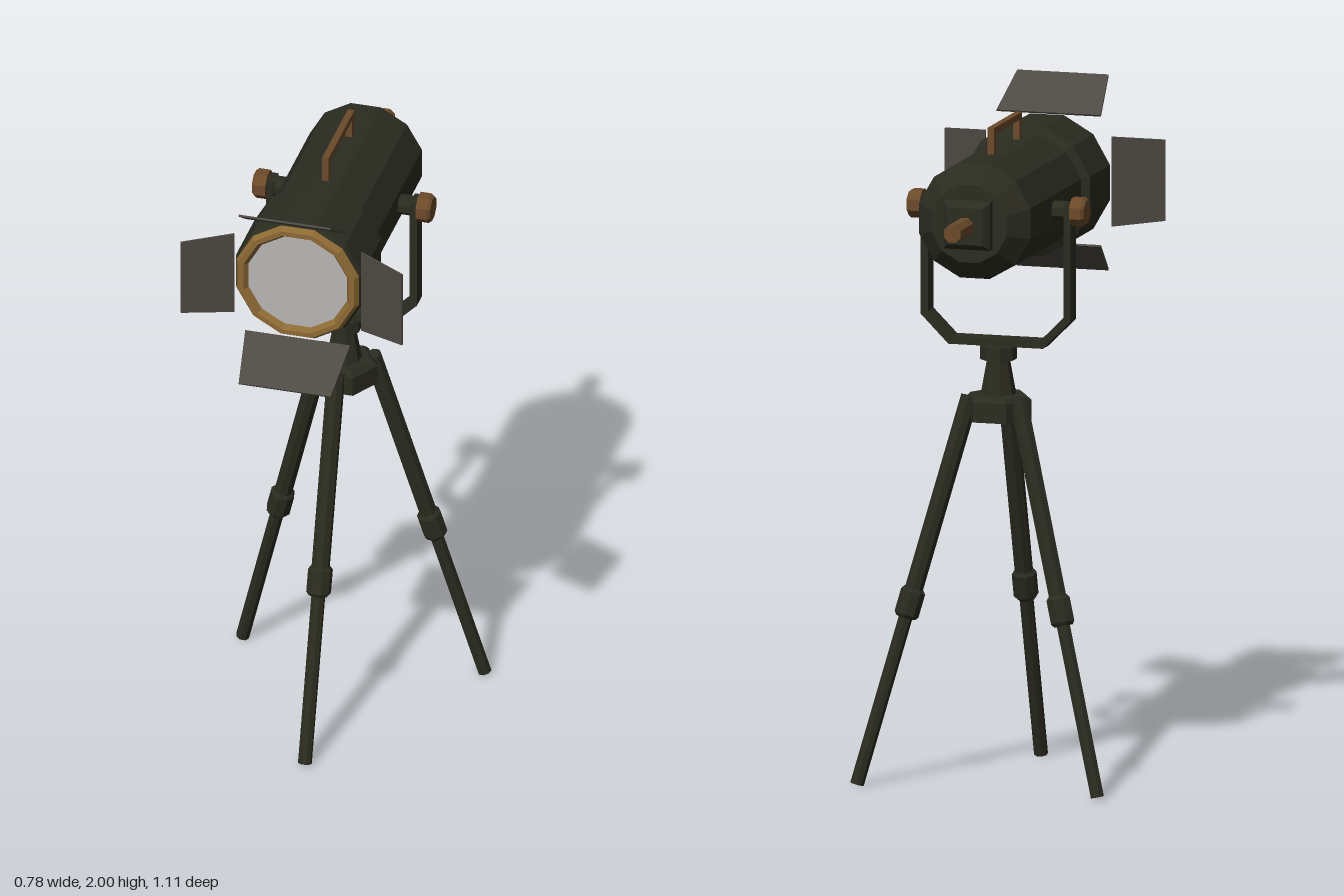
import * as THREE from 'three';

const mat = (name, color) => Object.assign(new THREE.MeshStandardMaterial({ color, flatShading: true }), { name });

export function createModel() {
  const model = new THREE.Group();
  model.name = 'studioSpotlight';
  const dark = mat('darkOlive', 0x2b2c20);
  const brown = mat('bronze', 0x6c4a2a);
  const gold = mat('goldTrim', 0x8c6934);
  const flapGrey = mat('flapGrey', 0x4d4943);
  flapGrey.side = THREE.DoubleSide;
  const lensGrey = mat('lensGrey', 0xb8b6b4);

  const AXIS = 1.71;   // height of the lamp's optical axis
  const PIVOT = -0.093; // z of yoke and tripod centre

  const add = (name, geo, material, x = 0, y = 0, z = 0, parent = model) => {
    const mesh = new THREE.Mesh(geo, material);
    mesh.name = name;
    mesh.position.set(x, y, z);
    parent.add(mesh);
    return mesh;
  };
  // Prism with flat sides facing the axes; radii measured to the flats
  const prism = (rTop, rBottom, h, n = 8) => {
    const k = 1 / Math.cos(Math.PI / n);
    return new THREE.CylinderGeometry(rTop * k, rBottom * k, h, n).rotateY(Math.PI / n);
  };
  // Twelve-sided turned part along z, from [radius, z] pairs running back to front
  const turned = (pts) => new THREE.LatheGeometry(
    pts.map(([r, z]) => new THREE.Vector2(r, z)), 12, Math.PI / 12).rotateX(Math.PI / 2);

  // Lamp housing
  add('housing', turned([[0, -0.385], [0.119, -0.385], [0.177, -0.33], [0.177, 0.178],
    [0.2, 0.192], [0.2, 0.395], [0.193, 0.41]]), dark, 0, AXIS);
  add('lensRing', turned([[0.193, 0.41], [0.182, 0.427], [0.167, 0.427], [0.154, 0.408]]), gold, 0, AXIS);
  add('lens', turned([[0.156, 0.41], [0, 0.41]]), lensGrey, 0, AXIS);

  // Rear cap and plug
  add('rearCapBase', new THREE.BoxGeometry(0.144, 0.144, 0.03), dark, 0, AXIS, -0.395);
  add('rearCapBevel', prism(0.072, 0.055, 0.02, 4).rotateX(Math.PI / 2), dark, 0, AXIS, -0.42);
  add('rearPlug', prism(0.026, 0.026, 0.135).rotateX(Math.PI / 2), brown, 0, AXIS, -0.4885);

  // Carrying handle
  const handle = new THREE.Group();
  handle.name = 'handle';
  model.add(handle);
  add('handleGrip', new THREE.BoxGeometry(0.02, 0.02, 0.282), brown, 0, 1.95, -0.03, handle);
  for (const z of [0.098, -0.158])
    add('handlePost', new THREE.BoxGeometry(0.02, 0.08, 0.025), brown, 0, 1.905, z, handle);

  // Barn doors: trapezoid plates hinged around the front rim
  const flapGeo = (inner, outer, length) => {
    const s = new THREE.Shape([[-inner, 0], [inner, 0], [outer, length], [-outer, length]]
      .map(([x, y]) => new THREE.Vector2(x, y)));
    return new THREE.ExtrudeGeometry(s, { depth: 0.006, bevelEnabled: false }).translate(0, 0, -0.003);
  };
  const flap = (name, turn, inner, outer, out, forward) => {
    const pivot = new THREE.Group();
    pivot.name = name;
    pivot.position.set(0, AXIS, 0.41);
    pivot.rotation.z = turn;
    model.add(pivot);
    add(name + 'Plate', flapGeo(inner, outer, Math.hypot(out, forward)), flapGrey, 0, 0.194, 0, pivot)
      .rotation.x = Math.atan2(forward, out);
  };
  flap('topFlap', 0, 0.16, 0.14, 0.096, 0.143);
  flap('bottomFlap', Math.PI, 0.16, 0.14, 0.096, 0.143);
  flap('leftFlap', -Math.PI / 2, 0.134, 0.121, 0.144, 0.068);
  flap('rightFlap', Math.PI / 2, 0.134, 0.121, 0.144, 0.068);

  // Yoke bracket: one bent strap
  const side = [[0.145, 1.3], [0.23, 1.385], [0.23, 1.735], [0.208, 1.735], [0.208, 1.395], [0.136, 1.323]];
  const strap = new THREE.Shape([...side, ...side.map(([x, y]) => [-x, y]).reverse()]
    .map(([x, y]) => new THREE.Vector2(x, y)));
  add('yoke', new THREE.ExtrudeGeometry(strap, { depth: 0.058, bevelEnabled: false }), dark, 0, 0, PIVOT - 0.029);

  // Pivot spacers and tilt knobs
  for (const s of [-1, 1]) {
    const turn = -s * Math.PI / 2;
    add('pivotSpacer', prism(0.028, 0.028, 0.06).rotateZ(turn), dark, s * 0.185, AXIS, PIVOT);
    add('tiltKnob', prism(0.041, 0.041, 0.034).rotateZ(turn), brown, s * 0.246, AXIS, PIVOT);
    add('tiltKnobCap', prism(0.034, 0.041, 0.009).rotateZ(turn), brown, s * 0.2675, AXIS, PIVOT);
  }

  // Tripod head
  add('headCollar', prism(0.05, 0.05, 0.04), dark, 0, 1.278, PIVOT);
  add('headStem', prism(0.03, 0.05, 0.12), dark, 0, 1.205, PIVOT);
  add('hub', new THREE.CylinderGeometry(0.102, 0.102, 0.06, 6).rotateY(Math.PI / 6), dark, 0, 1.11, PIVOT);
  add('hubTop', new THREE.CylinderGeometry(0.085, 0.102, 0.015, 6).rotateY(Math.PI / 6), dark, 0, 1.1475, PIVOT);

  // Three telescopic legs
  const TOP = 1.135, SPREAD = 0.338;
  const length = Math.hypot(TOP, SPREAD) - 0.006;
  for (let i = 0; i < 3; i++) {
    const yaw = new THREE.Group();
    yaw.name = 'leg' + (i + 1);
    yaw.position.set(0, TOP, PIVOT);
    yaw.rotation.y = i * Math.PI * 2 / 3;
    model.add(yaw);
    const leg = new THREE.Group();
    leg.name = 'legTilt';
    leg.position.z = 0.09;
    leg.rotation.x = -Math.atan2(SPREAD, TOP);
    yaw.add(leg);
    add('upperLeg', prism(0.025, 0.025, 0.62), dark, 0, -0.295, 0, leg);
    add('legCollar', prism(0.034, 0.034, 0.07), dark, 0, -0.62, 0, leg);
    add('legCollarTop', prism(0.027, 0.034, 0.01), dark, 0, -0.58, 0, leg);
    add('legCollarBottom', prism(0.034, 0.027, 0.01), dark, 0, -0.66, 0, leg);
    add('lowerLeg', prism(0.019, 0.019, length - 0.6), dark, 0, -(length + 0.6) / 2, 0, leg);
  }
  return model;
}
